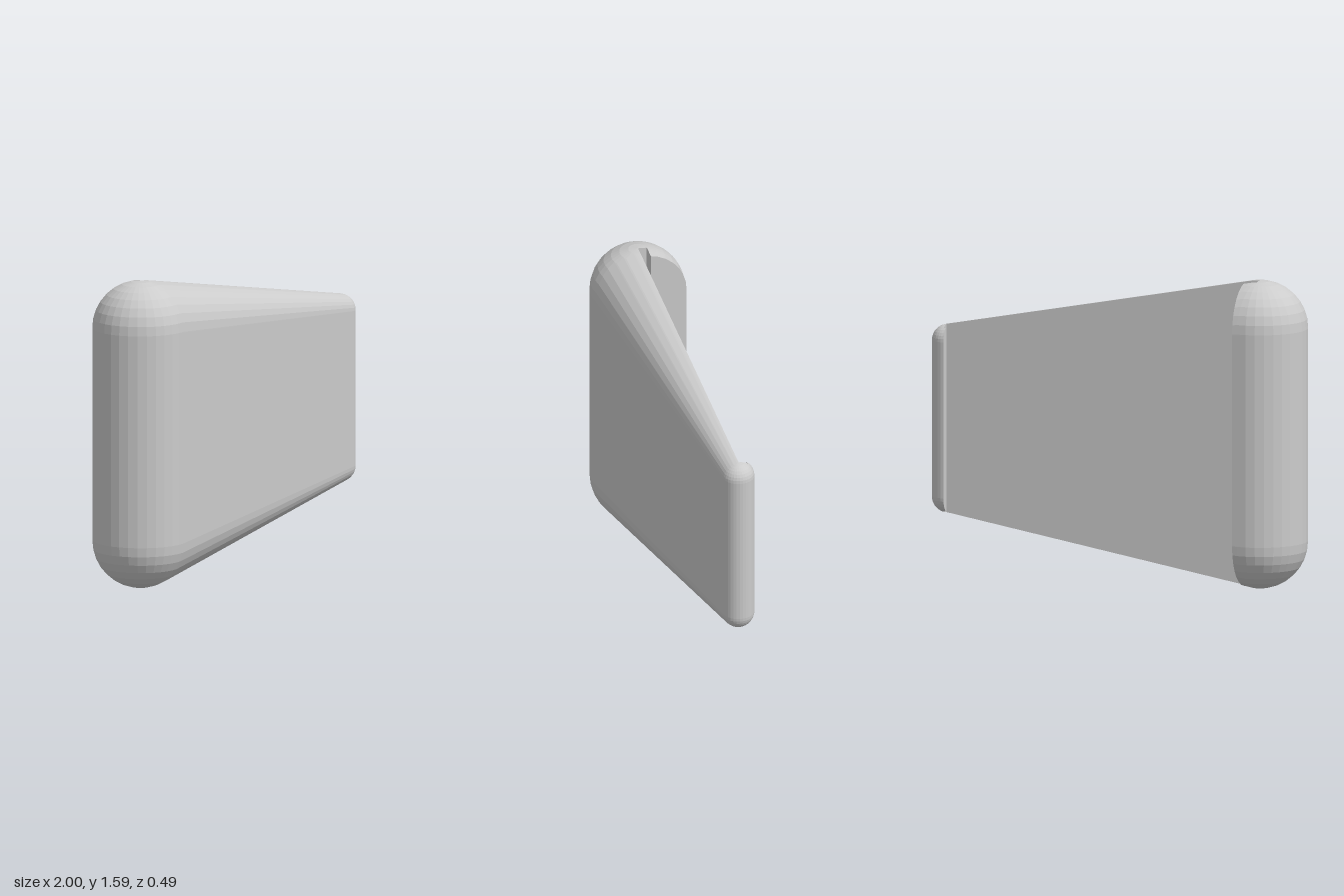
import * as THREE from 'three';
import { ConvexGeometry } from 'three/addons/geometries/ConvexGeometry.js';

// Drop repeated points.
function unique(points) {
  const map = new Map();
  for (const p of points) {
    const key = p.toArray().map((v) => Math.round(v * 1e5)).join();
    if (!map.has(key)) map.set(key, p);
  }
  return [...map.values()];
}

function vertices(geometry) {
  const pos = geometry.attributes.position;
  return Array.from({ length: pos.count }, (_, i) => new THREE.Vector3().fromBufferAttribute(pos, i));
}

// Keep the part of a convex solid where sign * (axis - limit) >= 0.
function clip(points, axis, sign, limit) {
  const corners = vertices(new ConvexGeometry(points));
  const side = (p) => sign * (p[axis] - limit);
  const kept = [];
  for (let i = 0; i < corners.length; i += 3) {
    for (let k = 0; k < 3; k++) {
      const a = corners[i + k], b = corners[i + (k + 1) % 3];
      const da = side(a), db = side(b);
      if (da >= -1e-6) kept.push(a);
      if (da * db < 0) {
        const cut = a.clone().lerp(b, da / (da - db));
        cut[axis] = limit;
        kept.push(cut);
      }
    }
  }
  return unique(kept);
}

export function createModel() {
  const group = new THREE.Group();
  const material = new THREE.MeshStandardMaterial({ color: 0xcccccc, flatShading: true });

  // Tapered rounded slab: the hull of a large and a small upright capsule.
  const ends = [
    { x: -0.754, r: 0.246, low: 0.246, high: 1.344 },
    { x: 0.916, r: 0.084, low: 0.392, high: 1.198 },
  ];
  const body = [];
  for (const { x, r, low, high } of ends) {
    for (const y of [low, high]) {
      body.push(...vertices(new THREE.SphereGeometry(r, 32, 16).translate(x, y, 0)));
    }
  }
  const hull = unique(body);

  const add = (name, ...cuts) => {
    let points = hull;
    for (const cut of cuts) points = clip(points, ...cut);
    const mesh = new THREE.Mesh(new ConvexGeometry(points), material);
    mesh.name = name;
    group.add(mesh);
  };

  // Front plate, flat at the back.
  add('frontPlate', ['z', 1, 0]);

  // Rear hooks at both ends; each neck is set back to leave a slot.
  const slot = -0.047;
  add('largeHookNeck', ['x', -1, -0.75], ['z', -1, 0], ['z', 1, slot]);
  add('largeHook', ['x', -1, -0.68], ['z', -1, slot]);
  add('smallHookNeck', ['x', 1, 0.925], ['z', -1, 0], ['z', 1, slot]);
  add('smallHook', ['x', 1, 0.915], ['z', -1, slot]);

  return group;
}
